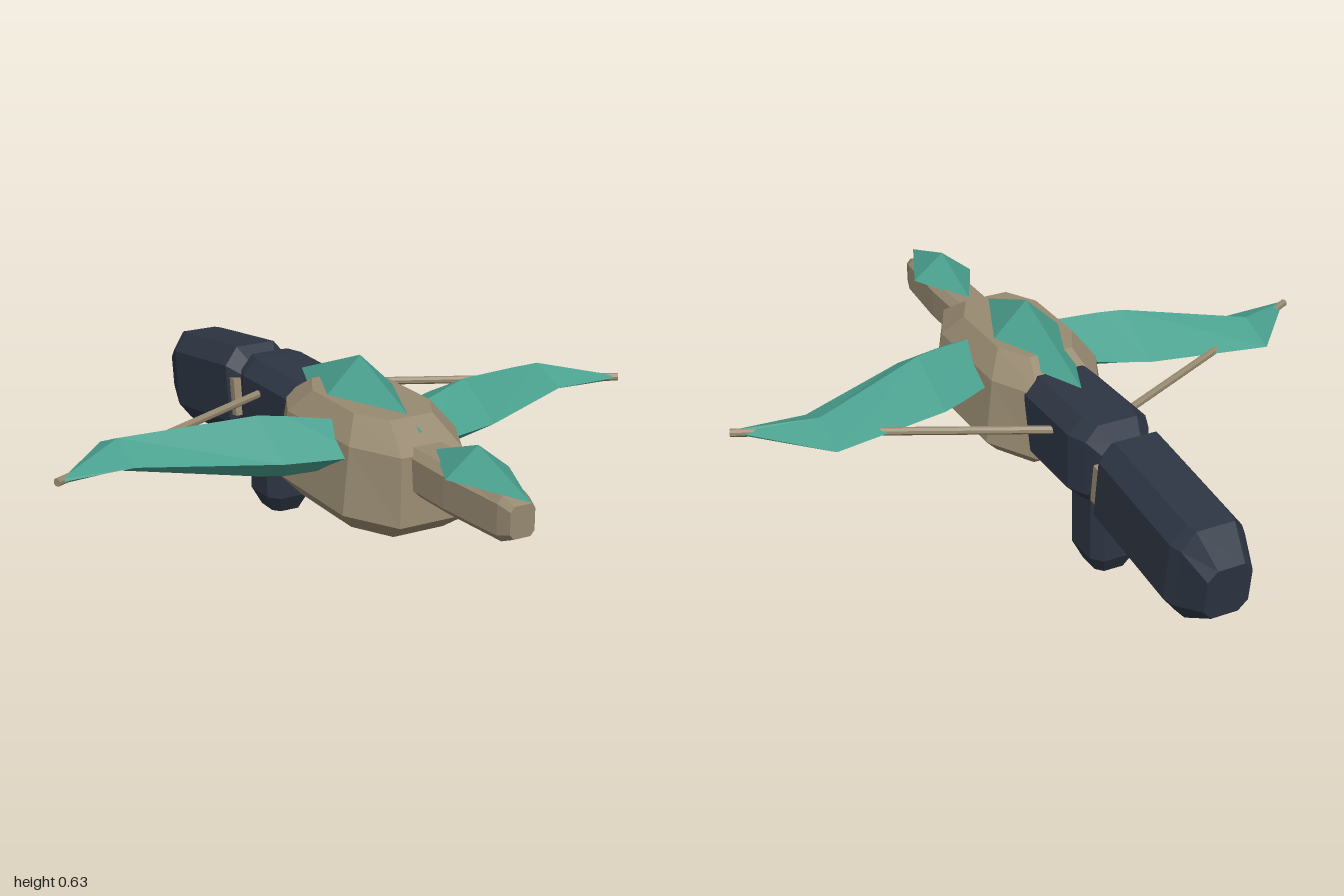
import * as THREE from 'three';

const mat = (name, color) => {
  const m = new THREE.MeshStandardMaterial({ color });
  m.name = name;
  return m;
};

// Closed faceted solid through rings of equal point count, always wound outwards
function loft(rings) {
  const tris = [];
  const n = rings[0].length;
  for (let i = 0; i < rings.length - 1; i++) {
    for (let j = 0; j < n; j++) {
      const k = (j + 1) % n;
      const a = rings[i][j], b = rings[i][k], c = rings[i + 1][k], d = rings[i + 1][j];
      tris.push([a, b, c], [a, c, d]);
    }
  }
  const first = rings[0], last = rings[rings.length - 1];
  for (let j = 1; j < n - 1; j++) {
    tris.push([first[0], first[j + 1], first[j]], [last[0], last[j], last[j + 1]]);
  }
  const cross = new THREE.Vector3();
  let volume = 0;
  for (const [a, b, c] of tris) volume += a.dot(cross.crossVectors(b, c));
  const points = tris.flatMap(([a, b, c]) => (volume < 0 ? [a, c, b] : [a, b, c]));
  const geo = new THREE.BufferGeometry().setFromPoints(points);
  geo.computeVertexNormals();
  return geo;
}

// Chamfered rectangle: half sizes u, v with flats of ku, kv of each half size
const octagon = (u, v, ku = 0.6, kv = 0.6) => [
  [u, -v * kv], [u, v * kv], [u * ku, v], [-u * ku, v],
  [-u, v * kv], [-u, -v * kv], [-u * ku, -v], [u * ku, -v],
];

// Loft along z from sections [z, halfWidth, halfHeight, centreY]
const loftZ = (sections, ku, kv) => loft(sections.map(([z, w, h, y = 0]) =>
  octagon(w, h, ku, kv).map(([a, b]) => new THREE.Vector3(a, y + b, z))));

// Loft along y from sections [y, halfWidth, halfDepth]
const loftY = (sections, ku, kv) => loft(sections.map(([y, w, d]) =>
  octagon(w, d, ku, kv).map(([a, b]) => new THREE.Vector3(a, y, b))));

// Kite-shaped pointed plate: six corners, apex above and below
function kite(zFront, zMid, zBack, halfWidth, yBase, yTop, yBottom) {
  const ring = (s) => [[0, zFront], [halfWidth, zMid], [0, zBack], [-halfWidth, zMid]]
    .map(([x, z]) => new THREE.Vector3(x * s, yBase, zMid + (z - zMid) * s));
  const top = ring(0.001), bottom = ring(0.001);
  top.forEach((p) => { p.y = yTop; });
  bottom.forEach((p) => { p.y = yBottom; });
  return loft([bottom, ring(1), top]);
}

export function createModel() {
  const group = new THREE.Group();
  const tan = mat('tan', 0x988a71);
  const navy = mat('navy', 0x2d3543);
  const green = mat('green', 0x4aa08e);
  for (const m of [tan, navy, green]) m.flatShading = true;

  const add = (name, geo, material) => {
    const mesh = new THREE.Mesh(geo, material);
    mesh.name = name;
    group.add(mesh);
    return mesh;
  };

  // Main body, bevelled at top and bottom
  add('body', loftY([
    [0.2, 0.146, 0.266], [0.26, 0.2, 0.35], [0.455, 0.174, 0.33], [0.527, 0.124, 0.22],
  ], 0.56, 0.54), tan).position.z = 0.21;

  // Neck and snout
  add('neck', loftZ([
    [0.48, 0.066, 0.066, 0.405], [0.7, 0.066, 0.066, 0.405],
    [0.925, 0.05, 0.063, 0.405], [0.968, 0.038, 0.045, 0.405],
  ], 0.68, 0.68), tan);

  // Crests on head and back
  add('headCrest', kite(1.0, 0.76, 0.55, 0.1, 0.468, 0.547, 0.435), green);
  add('backCrest', kite(0.49, 0.15, -0.2, 0.14, 0.496, 0.63, 0.45), green);

  // Rear hull
  add('rearHull', loftZ([
    [0.0, 0.1, 0.11, 0.365], [-0.08, 0.122, 0.13, 0.365], [-0.35, 0.125, 0.13, 0.365],
    [-0.41, 0.1, 0.128, 0.365], [-0.458, 0.075, 0.09, 0.365],
  ], 0.62, 0.65), navy);

  // Drooping tail, joined by a hinge
  const tail = add('tail', loftZ([
    [0.275, 0.075, 0.1], [0.235, 0.11, 0.146], [-0.15, 0.11, 0.146],
    [-0.185, 0.097, 0.146], [-0.278, 0.068, 0.08],
  ], 0.6, 0.62), navy);
  tail.position.set(0, 0.315, -0.723);
  tail.rotation.x = -0.134;
  const hinge = add('hinge', new THREE.BoxGeometry(0.206, 0.12, 0.034), tan);
  hinge.position.set(0, 0.342, -0.47);
  hinge.rotation.x = -0.134;

  // Standing post
  add('post', loftY([
    [0, 0.05, 0.058], [0.055, 0.077, 0.088], [0.26, 0.077, 0.088], [0.3, 0.05, 0.06],
  ], 0.62, 0.62), navy).position.z = -0.345;

  // Wing sections: x, front z, ridge z, back z, top y, bottom y
  const wing = [
    [0.12, 0.39, 0.26, 0.1, 0.487, 0.345],
    [0.27, 0.354, 0.205, 0.02, 0.506, 0.328],
    [0.345, 0.335, 0.175, -0.015, 0.512, 0.33],
    [0.71, 0.155, 0.035, -0.09, 0.466, 0.37],
    [0.925, 0.158, 0.153, 0.147, 0.424, 0.41],
  ];
  for (const [side, s] of [['left', 1], ['right', -1]]) {
    add(side + 'Wing', loft(wing.map(([x, zf, zt, zb, yt, yb]) => [
      new THREE.Vector3(s * x, 0.417, zf), new THREE.Vector3(s * x, yt, zt),
      new THREE.Vector3(s * x, 0.417, zb), new THREE.Vector3(s * x, yb, zt),
    ])), green);

    // Strut running from the hull through the wing to its tip
    const a = new THREE.Vector3(s * 0.1, 0.417, -0.262);
    const b = new THREE.Vector3(s * 0.937, 0.417, 0.154);
    const strut = add(side + 'Strut', new THREE.CylinderGeometry(0.012, 0.012, a.distanceTo(b), 8), tan);
    strut.position.addVectors(a, b).multiplyScalar(0.5);
    strut.quaternion.setFromUnitVectors(new THREE.Vector3(0, 1, 0), b.clone().sub(a).normalize());
  }
  return group;
}
